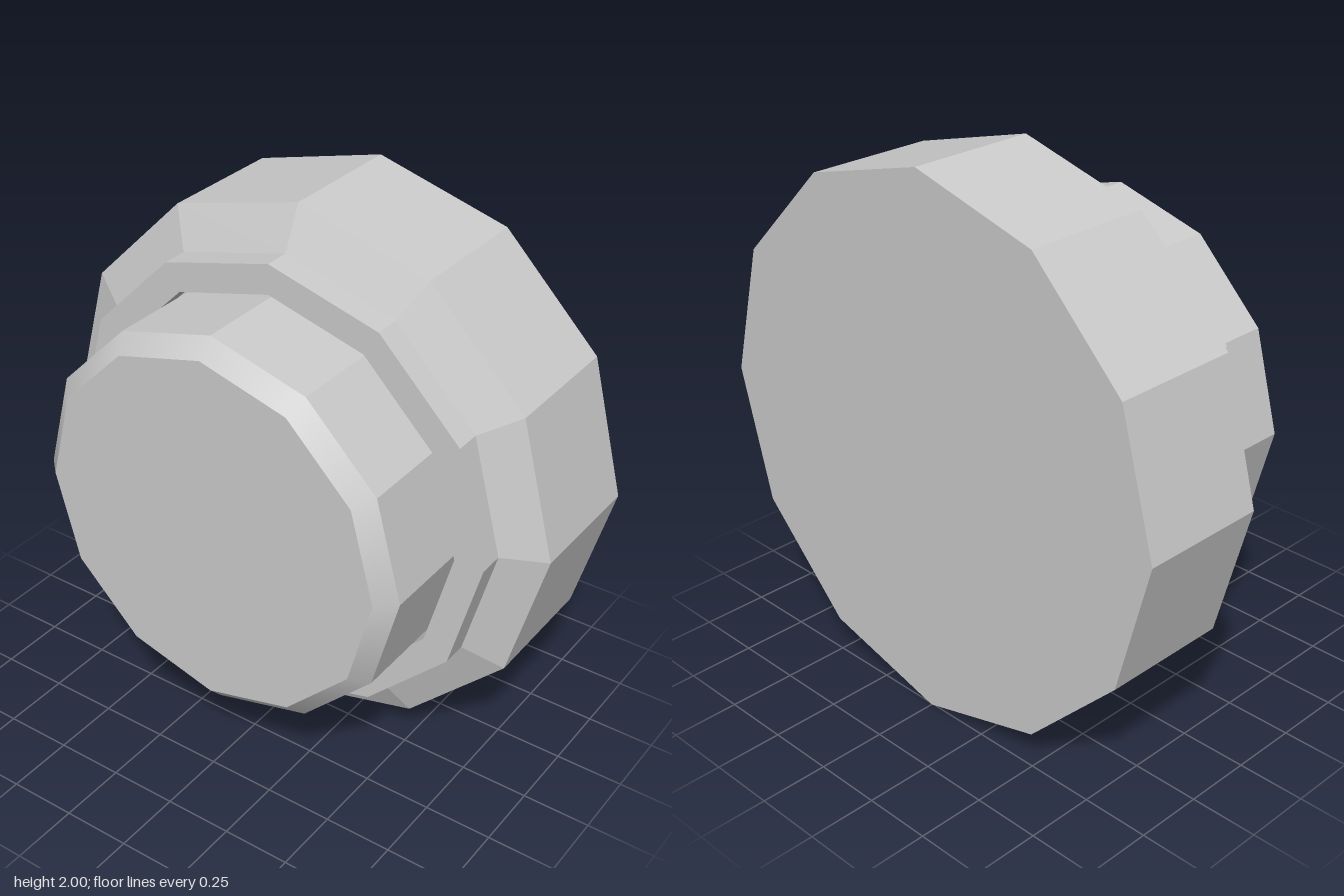
import * as THREE from 'three';

const SIDES = 12;
const material = new THREE.MeshStandardMaterial({ color: 0xcccccc });
const facetedMaterial = new THREE.MeshStandardMaterial({ color: 0xcccccc, flatShading: true });

// Twelve-sided turned part; profile is [radius, z] from back to front
function turned(name, profile, mat = facetedMaterial) {
  const points = profile.map(([r, z]) => new THREE.Vector2(r, z));
  const geometry = new THREE.LatheGeometry(points, SIDES);
  geometry.rotateX(Math.PI / 2);
  const mesh = new THREE.Mesh(geometry, mat);
  mesh.name = name;
  return mesh;
}

export function createModel() {
  const model = new THREE.Group();
  model.name = 'pushButton';
  model.position.y = 1;

  // Wide housing, sloping shoulder, narrow collar and the slot around the button
  model.add(turned('housing', [
    [0, -0.505], [1, -0.505], [1, -0.023], [0.847, 0.047],
    [0.847, 0.142], [0.738, 0.142], [0.738, 0.05], [0.72, 0.05],
  ]));

  // Button: faceted side, softly shaded bevel and flat face
  const button = new THREE.Group();
  button.name = 'button';
  button.add(
    turned('buttonSide', [[0.724, 0.05], [0.724, 0.445]]),
    turned('buttonBevel', [[0.724, 0.445], [0.661, 0.505]], material),
    turned('buttonFace', [[0.661, 0.505], [0, 0.505]]),
  );
  model.add(button);

  const root = new THREE.Group();
  root.add(model);
  return root;
}
